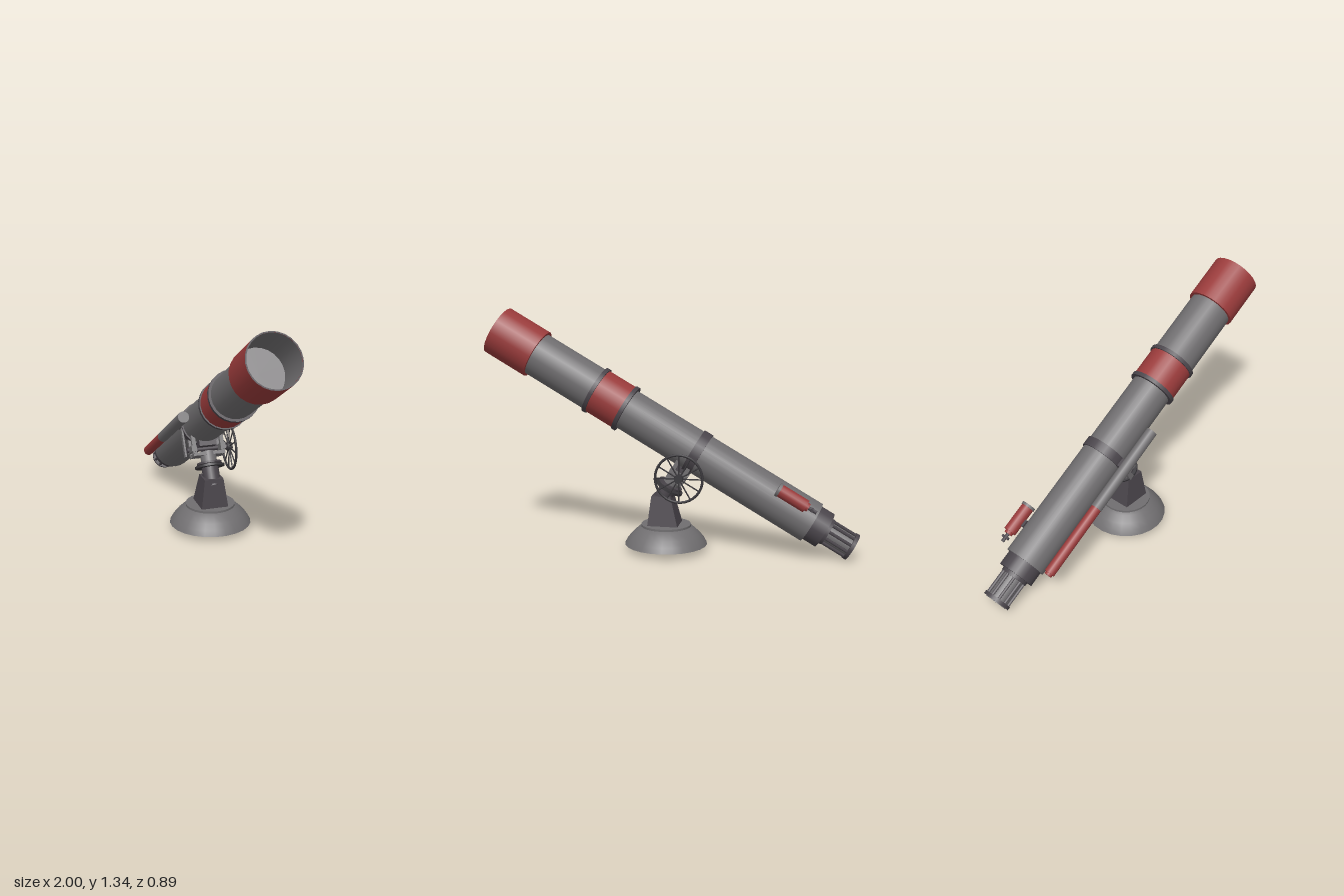
import * as THREE from 'three';

const SIDES = 24;
const mat = (name, color) => {
  const m = new THREE.MeshStandardMaterial({ color, side: THREE.DoubleSide });
  m.name = name;
  return m;
};

export function createModel() {
  const grey = mat('body grey', 0x706e70);
  const red = mat('band red', 0x9a3b3b);
  const dark = mat('dark trim', 0x4a454b);
  const black = mat('wheel black', 0x38363a);
  const glass = mat('lens grey', 0x858385);

  const model = new THREE.Group();
  model.name = 'telescope';

  const add = (parent, name, geo, material, x = 0, y = 0, z = 0) => {
    const m = new THREE.Mesh(geo, material);
    m.name = name;
    m.position.set(x, y, z);
    parent.add(m);
    return m;
  };

  // Aimed assembly: local x runs along the barrel towards its open end
  const azimuth = new THREE.Group();
  azimuth.name = 'azimuthFrame';
  azimuth.position.set(0, 0.66, -0.026);
  azimuth.rotation.y = -Math.PI / 9;
  model.add(azimuth);
  const aim = new THREE.Group();
  aim.name = 'aimedAssembly';
  aim.rotation.z = Math.PI / 6;
  azimuth.add(aim);

  // Cylinder along the barrel axis from s0 to s1
  const barrel = (name, material, s0, s1, r, y = 0, z = 0, open = false, n = SIDES) => {
    const g = new THREE.CylinderGeometry(r, r, s1 - s0, n, 1, open).rotateZ(-Math.PI / 2);
    return add(aim, name, g, material, (s0 + s1) / 2, y, z);
  };
  // Cylinder along the mount's own upright axis
  const upright = (name, material, y0, y1, r) =>
    add(aim, name, new THREE.CylinderGeometry(r, r, y1 - y0, SIDES), material, -0.15, (y0 + y1) / 2, 0);
  const box = (name, material, w, h, d, x, y, z) =>
    add(aim, name, new THREE.BoxGeometry(w, h, d), material, x, y, z);

  // Main barrel
  barrel('rearBarrel', grey, -0.917, 0.28, 0.117);
  barrel('frontBarrel', grey, 0.47, 0.872, 0.125);
  barrel('middleBand', red, 0.28, 0.47, 0.13);
  barrel('bandRingRear', dark, 0.268, 0.29, 0.137);
  barrel('bandRingFront', dark, 0.46, 0.482, 0.139);
  barrel('clampBand', dark, -0.214, -0.16, 0.125);

  // Open red hood with a lens at its inner end
  barrel('hood', red, 0.862, 1.124, 0.141, 0, 0, true);
  barrel('hoodLining', grey, 0.862, 1.122, 0.134, 0, 0, true);
  for (const [name, s, inner] of [['hoodRim', 1.124, 0.134], ['hoodBack', 0.862, 0.12]])
    add(aim, name, new THREE.RingGeometry(inner, 0.141, SIDES).rotateY(Math.PI / 2), name === 'hoodRim' ? dark : red, s);
  barrel('lens', glass, 0.872, 0.885, 0.134);

  // Eyepiece: collar, core and a cage of ribs
  barrel('eyepieceCollar', dark, -1.0, -0.917, 0.103);
  barrel('eyepieceCore', grey, -1.168, -1.0, 0.06);
  barrel('eyepieceFrontRing', dark, -1.02, -1.0, 0.077);
  barrel('eyepieceEndRing', dark, -1.175, -1.155, 0.078);
  barrel('eyepieceGlass', grey, -1.178, -1.174, 0.062);
  for (let i = 0; i < 10; i++) {
    const a = (i / 10) * Math.PI * 2;
    barrel('eyepieceRib', dark, -1.17, -1.0, 0.009, Math.cos(a) * 0.067, Math.sin(a) * 0.067, false, 6);
  }

  // Long side finder
  barrel('sideFinderFront', grey, -0.47, 0.053, 0.032, 0, 0.166, false, 16);
  barrel('sideFinderRear', red, -0.895, -0.47, 0.03, 0, 0.166, false, 16);
  barrel('sideFinderEnd', red, -0.908, -0.895, 0.022, 0, 0.166, false, 16);
  box('sideFinderBracket', dark, 0.05, 0.03, 0.06, -0.187, 0, 0.13);

  // Small finder on the other side
  const fy = 0.092, fz = -0.134;
  barrel('smallFinderBody', red, -0.835, -0.67, 0.036, fy, fz, false, 16);
  barrel('smallFinderFront', grey, -0.675, -0.66, 0.04, fy, fz, false, 16);
  barrel('smallFinderNeck', red, -0.85, -0.835, 0.024, fy, fz, false, 16);
  barrel('smallFinderStem', dark, -0.9, -0.85, 0.01, fy, fz, false, 8);
  box('smallFinderKnob', dark, 0.014, 0.014, 0.045, -0.872, fy, fz);
  box('smallFinderFoot', dark, 0.04, 0.03, 0.03, -0.755, 0.077, -0.1);

  // Tilted column with flanges
  upright('column', dark, -0.37, -0.24, 0.048);
  upright('lowerFlange', black, -0.262, -0.25, 0.084);
  upright('upperFlange', dark, -0.243, -0.232, 0.07);
  upright('columnHead', grey, -0.24, -0.17, 0.045);

  // Yoke holding the barrel
  box('yokeBase', grey, 0.1, 0.018, 0.18, -0.16, -0.185, 0);
  for (const side of [-1, 1]) {
    for (const ds of [-0.035, 0.035])
      box('yokeArm', grey, 0.022, 0.12, 0.022, -0.16 + ds, -0.135, side * 0.082);
    box('yokeBlock', grey, 0.1, 0.035, 0.03, -0.16, -0.15, side * 0.085);
  }
  box('saddle', dark, 0.09, 0.04, 0.1, -0.16, -0.12, 0);
  box('clampStrap', grey, 0.03, 0.19, 0.01, -0.187, -0.09, 0.122);
  const axle = new THREE.CylinderGeometry(0.014, 0.014, 0.26, 12).rotateX(Math.PI / 2);
  add(aim, 'axle', axle, dark, -0.18, -0.147, -0.02);

  // Spoked hand wheel
  const wheel = new THREE.Group();
  wheel.name = 'handWheel';
  wheel.position.set(-0.18, -0.147, -0.14);
  aim.add(wheel);
  add(wheel, 'wheelRim', new THREE.TorusGeometry(0.131, 0.007, 8, 32), black);
  add(wheel, 'wheelHub', new THREE.CylinderGeometry(0.024, 0.024, 0.03, 16).rotateX(Math.PI / 2), black);
  for (let i = 0; i < 12; i++) {
    const spoke = new THREE.CylinderGeometry(0.004, 0.004, 0.13, 6).translate(0, 0.065, 0);
    add(wheel, 'wheelSpoke', spoke, black).rotation.z = (i / 12) * Math.PI * 2;
  }

  // Hollow domed foot and its plate
  const profile = [[0.231, 0.04], [0.215, 0.07], [0.19, 0.1], [0.155, 0.132], [0.125, 0.145]];
  const dome = new THREE.LatheGeometry(profile.map(([r, y]) => new THREE.Vector2(r, y)), SIDES);
  add(model, 'domeFoot', dome, grey, 0.013, 0, -0.018);
  add(model, 'footPlate', new THREE.CylinderGeometry(0.14, 0.14, 0.012, SIDES), grey, 0.013, 0.147, -0.018);

  // Tapered pedestal block
  const block = new THREE.BoxGeometry(0.17, 0.165, 0.155);
  const p = block.attributes.position;
  for (let i = 0; i < p.count; i++)
    if (p.getY(i) > 0) p.setXYZ(i, p.getX(i) * 0.64 + 0.012, p.getY(i), p.getZ(i) * 0.7);
  block.computeVertexNormals();
  add(model, 'pedestal', block, dark, 0.02, 0.235, -0.016).rotation.y = -Math.PI / 9;

  return model;
}
